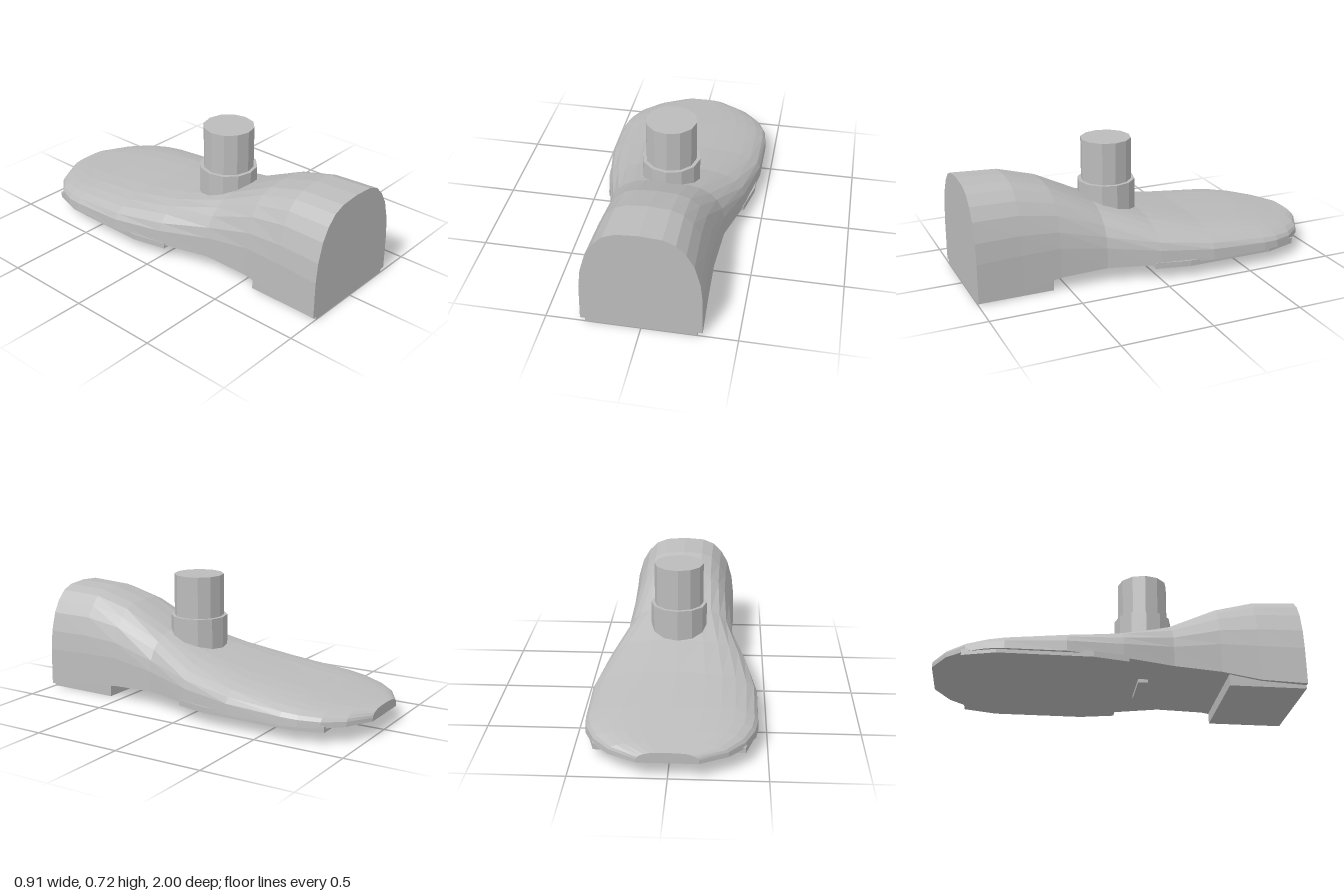
import * as THREE from 'three';

// Arched half cross-section: [fraction of half width, fraction of height]
const ARCH = [[1, 0], [0.99, 0.36], [0.952, 0.55], [0.857, 0.733], [0.73, 0.853], [0.571, 0.94], [0.365, 0.985], [0, 1]];

// Stations from toe to heel: [z, half width, underside y, top y]
const STATIONS = [
  [-1, 0.155, 0.088, 0.145], [-0.92, 0.3, 0.086, 0.158], [-0.82, 0.39, 0.085, 0.175],
  [-0.71, 0.438, 0.085, 0.193], [-0.62, 0.452, 0.085, 0.207], [-0.3, 0.453, 0.085, 0.25],
  [0, 0.4, 0.085, 0.31], [0.28, 0.32, 0.085, 0.4], [0.54, 0.304, 0.071, 0.53],
  [0.75, 0.307, 0.034, 0.59], [1, 0.318, 0.02, 0.602],
];

// Skin the arch through all stations and close both ends
function loftBody() {
  const ring = [...ARCH, ...ARCH.slice(0, -1).reverse().map(([u, v]) => [-u, v])];
  const n = ring.length;
  const pos = [], idx = [];
  for (const [z, w, y0, y1] of STATIONS)
    for (const [u, v] of ring) pos.push(u * w, y0 + v * (y1 - y0), z);
  for (let i = 0; i < STATIONS.length - 1; i++)
    for (let j = 0; j < n; j++) {
      const k = (j + 1) % n;
      const a = i * n + j, b = i * n + k, c = a + n, d = b + n;
      idx.push(a, b, d, a, d, c);
    }
  const last = (STATIONS.length - 1) * n;
  for (let j = 1; j < n - 1; j++) idx.push(0, j + 1, j, last, last + j, last + j + 1);
  let geo = new THREE.BufferGeometry();
  geo.setAttribute('position', new THREE.Float32BufferAttribute(pos, 3));
  geo.setIndex(idx);
  geo = geo.toNonIndexed();
  geo.computeVertexNormals();
  return geo;
}

export function createModel() {
  const group = new THREE.Group();
  const grey = new THREE.MeshStandardMaterial({ color: 0xbcbcbc });
  grey.name = 'grey';
  grey.flatShading = true;

  const add = (name, geo, x = 0, y = 0, z = 0) => {
    const mesh = new THREE.Mesh(geo, grey);
    mesh.name = name;
    mesh.position.set(x, y, z);
    group.add(mesh);
  };
  const box = (name, w, y0, y1, z0, z1) =>
    add(name, new THREE.BoxGeometry(w, y1 - y0, z1 - z0), 0, (y0 + y1) / 2, (z0 + z1) / 2);
  const post = (name, r, y0, y1) =>
    add(name, new THREE.CylinderGeometry(r, r, y1 - y0, 12), 0, (y0 + y1) / 2, 0.155);

  add('body', loftBody());

  // Stepped post on the instep
  post('postCollar', 0.16, 0.25, 0.485);
  post('post', 0.14, 0.45, 0.72);

  // Pads under the body
  box('heelPad', 0.584, 0, 0.066, 0.58, 0.999);
  box('middleTab', 0.25, 0.065, 0.095, 0.11, 0.165);

  // Forefoot pad: tapered outline, laid flat (shape y becomes -z)
  const side = [[0.396, -0.03], [0.438, 0.16], [0.438, 0.66], [0.385, 0.84]];
  const outline = [...side, ...side.slice().reverse().map(([x, y]) => [-x, y])];
  const pad = new THREE.ExtrudeGeometry(
    new THREE.Shape(outline.map(([x, y]) => new THREE.Vector2(x, y))),
    { depth: 0.033, bevelEnabled: false });
  pad.rotateX(-Math.PI / 2);
  add('forefootPad', pad, 0, 0.065, 0);

  return group;
}
